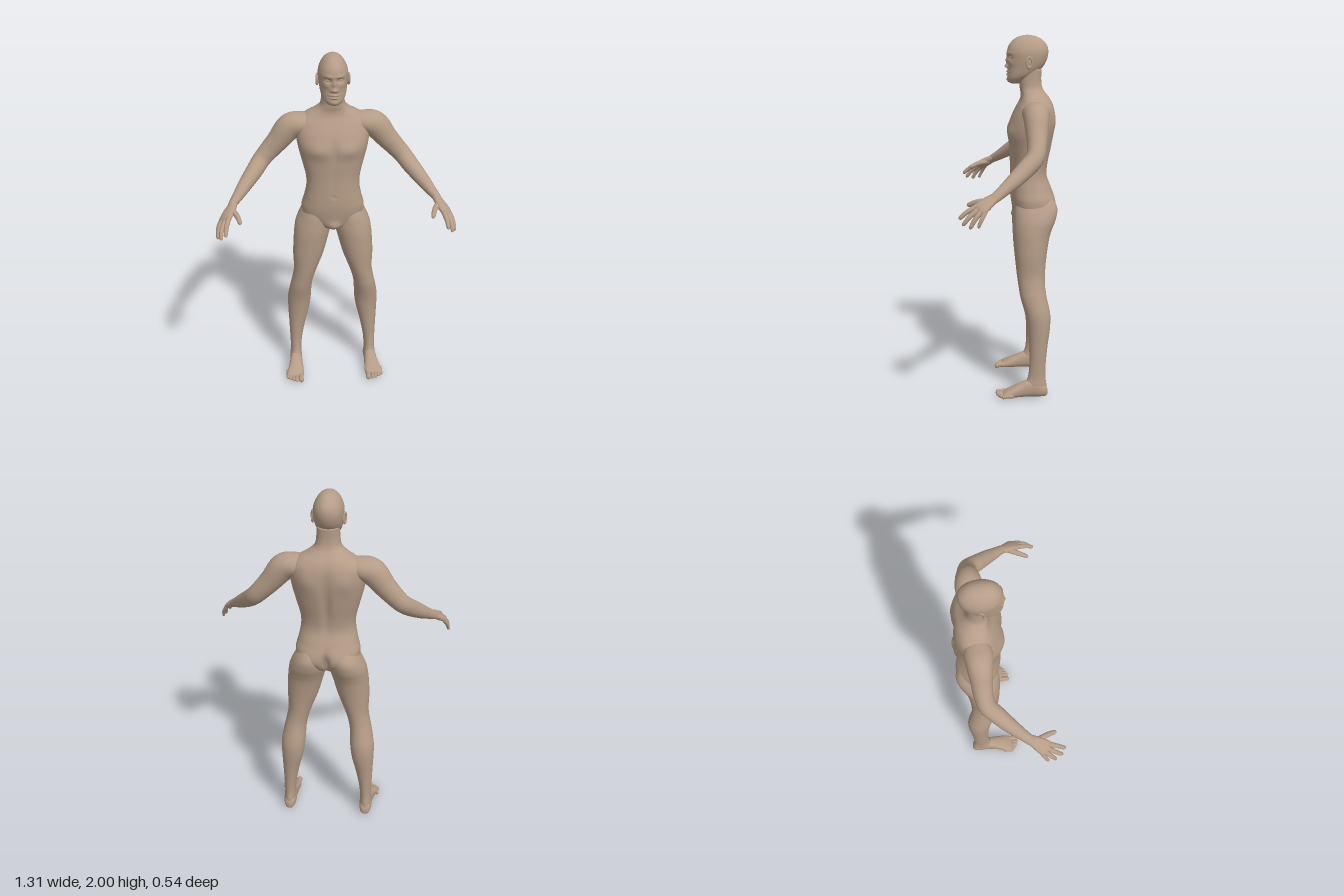
import * as THREE from 'three';

const V = (x, y, z) => new THREE.Vector3(x, y, z);
const spow = (v, e) => Math.sign(v) * Math.pow(Math.abs(v), e);

// Smooth closed skin through elliptical sections [x, y, z, radiusA, radiusB].
// side: direction of radiusA. axis: fixed section normal (otherwise follows the path).
function loft(sections, { side = V(1, 0, 0), axis = null, rows = 40, cols = 32, square = 1, round = 0, warp = null } = {}) {
  const path = new THREE.CatmullRomCurve3(sections.map(s => V(s[0], s[1], s[2])), false, 'catmullrom', 0.5);
  const size = new THREE.CatmullRomCurve3(sections.map(s => V(s[3], s[4], 0)), false, 'catmullrom', 0.5);
  const pos = [], idx = [];
  const put = p => { if (warp) warp(p); pos.push(p.x, p.y, p.z); };
  for (let i = 0; i <= rows; i++) {
    const t = i / rows, c = path.getPoint(t), r = size.getPoint(t);
    const T = axis ? axis.clone() : path.getTangent(t);
    const A = side.clone().addScaledVector(T, -side.dot(T)).normalize();
    const B = V(0, 0, 0).crossVectors(T, A);
    const u = round ? Math.max(0, (t - 1 + round) / round) : 0;
    const k = Math.max(0.05, Math.sqrt(1 - u * u));
    for (let j = 0; j < cols; j++) {
      const a = j / cols * Math.PI * 2;
      put(c.clone()
        .addScaledVector(A, Math.max(r.x, 0.001) * k * spow(Math.cos(a), square))
        .addScaledVector(B, Math.max(r.y, 0.001) * k * spow(Math.sin(a), square)));
    }
  }
  for (let i = 0; i < rows; i++) for (let j = 0; j < cols; j++) {
    const a = i * cols + j, b = i * cols + (j + 1) % cols;
    idx.push(a, b, a + cols, b, b + cols, a + cols);
  }
  // end caps
  const n = (rows + 1) * cols;
  put(path.getPoint(0));
  put(path.getPoint(1));
  for (let j = 0; j < cols; j++) {
    const k = (j + 1) % cols;
    idx.push(n, k, j, n + 1, rows * cols + j, rows * cols + k);
  }
  const g = new THREE.BufferGeometry();
  g.setAttribute('position', new THREE.Float32BufferAttribute(pos, 3));
  g.setIndex(idx);
  g.computeVertexNormals();
  return g;
}

// Upright sections [y, centreX, halfWidth, frontZ, backZ]
const upright = (rows, opt) => loft(
  rows.map(([y, x, w, f, b]) => [x, y, (f + b) / 2, w, (f - b) / 2]), { axis: V(0, 1, 0), ...opt });

// Symmetric soft bumps [x, y, spreadX, spreadY, depth, facing]
const bumps = (list, midZ) => p => {
  let dz = 0;
  for (const [x, y, sx, sy, d, f = 1] of list) {
    const w = THREE.MathUtils.clamp((p.z - midZ) * f / 0.06, 0, 1);
    const gx = (Math.abs(p.x) - x) / sx, gy = (p.y - y) / sy;
    dz += f * d * w * Math.exp(-(gx * gx + gy * gy));
  }
  p.z += dz;
};

function mirrored(geo) {
  const g = geo.clone().scale(-1, 1, 1), ix = g.index;
  for (let i = 0; i < ix.count; i += 3) {
    const a = ix.getX(i);
    ix.setX(i, ix.getX(i + 1));
    ix.setX(i + 1, a);
  }
  g.computeVertexNormals();
  return g;
}

export function createModel() {
  const skin = new THREE.MeshStandardMaterial({ color: 0xb59c87 });
  skin.name = 'skin';
  const model = new THREE.Group();
  model.name = 'figure';
  const add = (name, geo) => {
    const m = new THREE.Mesh(geo, skin);
    m.name = name;
    model.add(m);
  };
  const pair = (name, geo) => { add(name + 'Left', geo); add(name + 'Right', mirrored(geo)); };

  // Torso and neck
  add('torso', upright([
    [0.965, 0, 0.03, -0.07, -0.15], [0.99, 0, 0.10, -0.04, -0.215],
    [1.04, 0, 0.165, -0.022, -0.25], [1.10, 0, 0.177, -0.01, -0.255],
    [1.16, 0, 0.163, -0.005, -0.236], [1.23, 0, 0.15, -0.005, -0.212],
    [1.30, 0, 0.152, -0.005, -0.215], [1.40, 0, 0.176, 0, -0.235],
    [1.48, 0, 0.195, 0.004, -0.248], [1.55, 0, 0.203, -0.012, -0.252],
    [1.61, 0, 0.195, -0.04, -0.246], [1.65, 0, 0.155, -0.06, -0.23],
    [1.68, 0, 0.105, -0.065, -0.207], [1.71, 0, 0.072, -0.06, -0.187],
    [1.75, 0, 0.063, -0.057, -0.178], [1.82, 0, 0.06, -0.06, -0.178],
  ], {
    rows: 110, cols: 80, square: 0.88,
    warp: bumps([
      [0.09, 1.475, 0.06, 0.045, 0.012], [0, 1.47, 0.015, 0.07, -0.008],   // chest
      [0, 1.28, 0.012, 0.10, -0.004], [0, 1.195, 0.009, 0.009, -0.006],    // belly
      [0, 1.00, 0.035, 0.03, 0.02],                                        // groin
      [0, 1.42, 0.022, 0.17, -0.016, -1], [0.1, 1.54, 0.045, 0.06, 0.01, -1], // spine, shoulder blades
      [0, 1.05, 0.014, 0.055, -0.035, -1], [0.085, 1.06, 0.05, 0.05, 0.012, -1], // seat
    ], -0.12),
  }));

  // Head with sculpted face
  add('head', upright([
    [1.738, 0, 0.015, -0.015, -0.06], [1.746, 0, 0.036, 0.002, -0.08],
    [1.765, 0, 0.054, 0.008, -0.105], [1.79, 0, 0.067, 0.006, -0.145],
    [1.83, 0, 0.075, 0.005, -0.187], [1.87, 0, 0.08, 0.008, -0.208],
    [1.91, 0, 0.08, 0.01, -0.215], [1.945, 0, 0.069, 0, -0.207],
    [1.975, 0, 0.05, -0.025, -0.18], [1.993, 0, 0.027, -0.058, -0.145],
    [2.0, 0, 0.002, -0.095, -0.105],
  ], {
    rows: 110, cols: 96, square: 0.95,
    warp: bumps([
      [0.032, 1.882, 0.017, 0.012, -0.012], [0.03, 1.905, 0.025, 0.008, 0.005], // eye sockets, brow
      [0, 1.862, 0.009, 0.022, 0.010], [0, 1.832, 0.012, 0.011, 0.018],         // nose
      [0.014, 1.828, 0.007, 0.007, 0.008], [0.045, 1.852, 0.018, 0.015, 0.004], // nostrils, cheeks
      [0, 1.803, 0.022, 0.006, 0.010], [0, 1.788, 0.019, 0.006, 0.009],         // lips
      [0, 1.7955, 0.024, 0.0025, -0.006], [0, 1.76, 0.02, 0.012, 0.005],        // mouth, chin
    ], -0.1),
  }));
  pair('eye', new THREE.SphereGeometry(0.013, 20, 14).scale(1, 0.7, 1).translate(0.032, 1.882, -0.017));

  // Ears
  pair('earRim', new THREE.TorusGeometry(0.016, 0.005, 10, 28).scale(1, 1.7, 1)
    .rotateY(Math.PI / 2 + 0.35).translate(0.084, 1.857, -0.108));
  pair('earInner', new THREE.SphereGeometry(0.016, 16, 12).scale(0.4, 1.6, 0.9)
    .rotateY(0.35).translate(0.08, 1.855, -0.106));

  // Arms
  pair('arm', loft([
    [0.10, 1.60, -0.14, 0.05, 0.045], [0.17, 1.597, -0.14, 0.073, 0.06],
    [0.235, 1.575, -0.14, 0.069, 0.073], [0.30, 1.497, -0.14, 0.058, 0.062],
    [0.35, 1.44, -0.138, 0.051, 0.055], [0.395, 1.39, -0.125, 0.048, 0.05],
    [0.435, 1.345, -0.08, 0.047, 0.047], [0.485, 1.295, -0.02, 0.041, 0.04],
    [0.53, 1.25, 0.04, 0.032, 0.03], [0.56, 1.222, 0.08, 0.028, 0.022],
    [0.572, 1.209, 0.10, 0.024, 0.017],
  ], { side: V(0, 0, 1), rows: 70, cols: 36 }));

  // Hands
  const across = V(-0.57, 0.21, 0.79);
  pair('palm', loft([
    [0.552, 1.228, 0.07, 0.024, 0.018], [0.572, 1.205, 0.11, 0.035, 0.02],
    [0.59, 1.185, 0.14, 0.042, 0.019], [0.602, 1.171, 0.16, 0.042, 0.016],
    [0.608, 1.163, 0.172, 0.034, 0.009],
  ], { side: across, rows: 24, cols: 28, square: 0.9, round: 0.1 }));
  const fingers = {
    index: [[0.582, 1.182, 0.175], [0.594, 1.155, 0.225], [0.6, 1.118, 0.268]],
    middle: [[0.6, 1.172, 0.165], [0.62, 1.135, 0.212], [0.626, 1.09, 0.25]],
    ring: [[0.612, 1.168, 0.148], [0.636, 1.125, 0.185], [0.644, 1.077, 0.212]],
    little: [[0.617, 1.166, 0.13], [0.64, 1.125, 0.152], [0.649, 1.082, 0.17]],
    thumb: [[0.566, 1.203, 0.105], [0.536, 1.194, 0.172], [0.517, 1.17, 0.228]],
  };
  for (const [name, [a, b, c]] of Object.entries(fingers)) {
    const r = name === 'little' ? 0.0105 : name === 'thumb' ? 0.0145 : 0.0125;
    pair(name + 'Finger', loft([[...a, r * 1.15, r * 1.1], [...b, r, r], [...c, r * 0.8, r * 0.75]],
      { side: across, rows: 18, cols: 14, round: 0.14 }));
  }

  // Legs
  pair('leg', upright([
    [0.03, 0.225, 0.03, -0.10, -0.205], [0.07, 0.225, 0.034, -0.085, -0.206],
    [0.12, 0.224, 0.032, -0.103, -0.2], [0.20, 0.221, 0.037, -0.11, -0.202],
    [0.30, 0.213, 0.049, -0.107, -0.212], [0.40, 0.203, 0.063, -0.098, -0.225],
    [0.48, 0.198, 0.068, -0.085, -0.225], [0.57, 0.188, 0.063, -0.06, -0.206],
    [0.63, 0.176, 0.062, -0.05, -0.197], [0.70, 0.160, 0.068, -0.04, -0.197],
    [0.80, 0.143, 0.088, -0.03, -0.206], [0.90, 0.127, 0.099, -0.024, -0.222],
    [0.95, 0.118, 0.103, -0.022, -0.238], [1.00, 0.108, 0.103, -0.024, -0.258],
    [1.06, 0.098, 0.086, -0.03, -0.266], [1.12, 0.085, 0.062, -0.05, -0.235],
    [1.16, 0.075, 0.03, -0.09, -0.19],
  ], { rows: 90, cols: 44 }));

  // Feet and toes
  pair('foot', loft([
    [0.225, 0.027, -0.212, 0.012, 0.014], [0.225, 0.036, -0.198, 0.028, 0.034],
    [0.225, 0.046, -0.16, 0.036, 0.046], [0.226, 0.05, -0.11, 0.035, 0.05],
    [0.229, 0.039, -0.055, 0.041, 0.039], [0.234, 0.027, -0.005, 0.05, 0.027],
    [0.238, 0.019, 0.025, 0.051, 0.019], [0.239, 0.014, 0.042, 0.045, 0.012],
  ], { axis: V(0, 0, 1), rows: 36, cols: 32, square: 0.85, round: 0.06 }));
  [0.08, 0.078, 0.07, 0.059, 0.045].forEach((tip, i) => {
    const x = i ? 0.211 + 0.0175 * i : 0.203, r = i ? 0.0105 : 0.0155;
    pair('toe' + (i + 1), loft([
      [x, 0.02, tip - 0.065, r, r], [x, 0.02, tip - 0.035, r * 0.85, r * 0.9],
      [x, 0.016, tip - 0.012, r, r], [x, 0.014, tip, r * 0.8, r * 0.7],
    ], { axis: V(0, 0, 1), rows: 16, cols: 14, round: 0.2 }));
  });
  return model;
}
